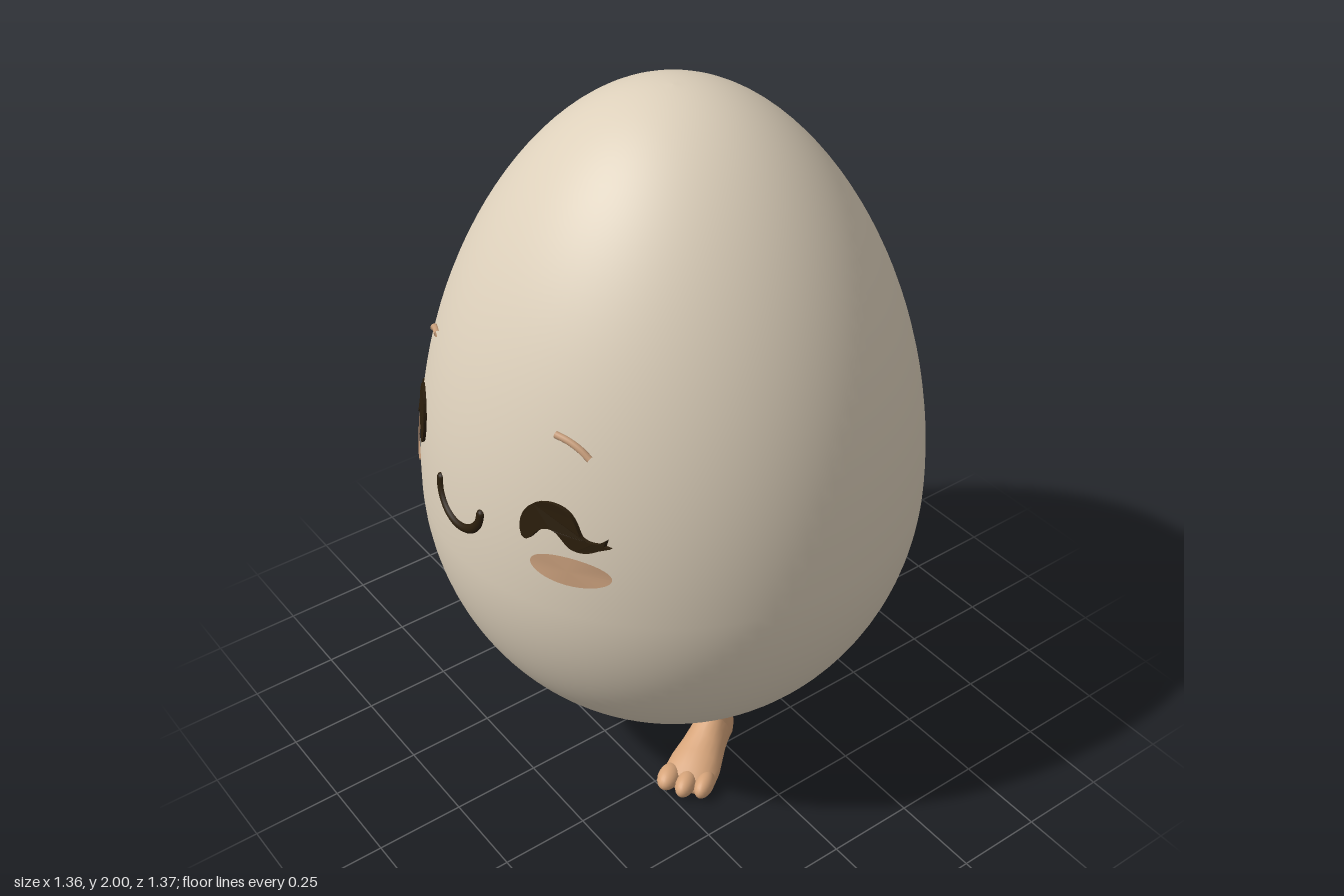
import * as THREE from 'three';

const material = (name, color, side = THREE.FrontSide) => {
  const m = new THREE.MeshStandardMaterial({ color, side });
  m.name = name;
  return m;
};

// Egg radius at a given height
const MID = 0.88, TOP = 2, BOTTOM = 0.143, WIDE = 0.68;
function eggRadius(y) {
  const s = y > MID ? (y - MID) / (TOP - MID) : (MID - y) / (MID - BOTTOM);
  const taper = y > MID ? 1 - 0.08 * s * s : 1;
  return WIDE * Math.sqrt(Math.max(0, 1 - s * s)) * taper;
}
const eggFront = (x, y) => Math.sqrt(Math.max(0, eggRadius(y) ** 2 - x * x));

// Bend a flat geometry onto the front of the egg; its own z becomes the lift
function wrap(geometry, lift) {
  const p = geometry.attributes.position;
  for (let i = 0; i < p.count; i++) {
    p.setZ(i, eggFront(p.getX(i), p.getY(i)) + p.getZ(i) + lift);
  }
  geometry.computeVertexNormals();
  return geometry;
}

// Rounded stroke lying on the egg
function stroke(points, radius, lift) {
  const path = new THREE.CatmullRomCurve3(
    points.map(([x, y]) => new THREE.Vector3(x, y, eggFront(x, y) + lift)));
  return new THREE.TubeGeometry(path, 32, radius, 10);
}

// Foot body lofted through flat-bottomed sections: [z, half width, height]
function footGeometry() {
  const sections = [
    [-0.064, 0.005, 0.04], [-0.06, 0.025, 0.07], [-0.045, 0.042, 0.11], [-0.02, 0.05, 0.14],
    [0.02, 0.052, 0.145], [0.055, 0.056, 0.125], [0.1, 0.065, 0.102], [0.15, 0.075, 0.085],
    [0.195, 0.077, 0.07], [0.22, 0.07, 0.052], [0.235, 0.04, 0.03],
  ];
  const n = 24, positions = [], indices = [];
  for (const [z, w, h] of sections) {
    for (let i = 0; i < n; i++) {
      const a = (i / n) * Math.PI * 2, c = Math.cos(a), s = Math.sin(a);
      const y = s > 0 ? 0.3 + 0.7 * s : 0.3 - 0.3 * Math.sqrt(-s);
      positions.push(w * c, h * y, z);
    }
  }
  for (let j = 0; j < sections.length - 1; j++) {
    for (let i = 0; i < n; i++) {
      const a = j * n + i, b = j * n + (i + 1) % n;
      indices.push(a, b, b + n, a, b + n, a + n);
    }
  }
  // Close heel and toe ends
  const last = (sections.length - 1) * n;
  for (let i = 1; i < n - 1; i++) {
    indices.push(0, i + 1, i, last, last + i, last + i + 1);
  }
  const g = new THREE.BufferGeometry();
  g.setAttribute('position', new THREE.Float32BufferAttribute(positions, 3));
  g.setIndex(indices);
  g.computeVertexNormals();
  return g;
}

export function createModel() {
  const shell = material('shell cream', 0xddd0bb);
  const skin = material('skin tan', 0xd6a47a);
  const blush = material('blush tan', 0xc99f7c, THREE.DoubleSide);
  const dark = material('dark brown', 0x2a1d0b, THREE.DoubleSide);

  const model = new THREE.Group();
  const add = (parent, name, geometry, mat, x = 0, y = 0, z = 0) => {
    const mesh = new THREE.Mesh(geometry, mat);
    mesh.name = name;
    mesh.position.set(x, y, z);
    parent.add(mesh);
    return mesh;
  };

  // Egg body
  const profile = [];
  for (let i = 0; i <= 64; i++) {
    const a = -Math.PI / 2 + (i / 64) * Math.PI;
    const y = MID + Math.sin(a) * (a > 0 ? TOP - MID : MID - BOTTOM);
    profile.push(new THREE.Vector2(i % 64 ? eggRadius(y) : 0, y));
  }
  add(model, 'eggBody', new THREE.LatheGeometry(profile, 96), shell);

  // Smile
  const smile = [];
  for (let i = 0; i <= 12; i++) {
    const a = Math.PI + (i / 12) * Math.PI;
    smile.push([0.094 * Math.cos(a), 1.07 + 0.082 * Math.sin(a)]);
  }
  add(model, 'smile', stroke(smile, 0.013, -0.003), dark);
  for (const i of [0, 12]) {
    const [x, y] = smile[i];
    add(model, 'smileEnd', new THREE.SphereGeometry(0.013, 12, 8), dark, x, y, eggFront(x, y) - 0.003);
  }

  // Closed happy eye: thick arch with lashes at the outer corner
  const eyeShape = new THREE.Shape();
  eyeShape.moveTo(0.235, 1.083);
  eyeShape.bezierCurveTo(0.212, 1.13, 0.24, 1.197, 0.3, 1.196);
  eyeShape.bezierCurveTo(0.35, 1.195, 0.36, 1.15, 0.372, 1.128);
  eyeShape.quadraticCurveTo(0.385, 1.112, 0.41, 1.116);
  eyeShape.lineTo(0.424, 1.13);
  eyeShape.lineTo(0.422, 1.112);
  eyeShape.lineTo(0.434, 1.108);
  eyeShape.lineTo(0.412, 1.097);
  eyeShape.quadraticCurveTo(0.385, 1.075, 0.355, 1.088);
  eyeShape.bezierCurveTo(0.335, 1.1, 0.325, 1.128, 0.3, 1.126);
  eyeShape.bezierCurveTo(0.275, 1.122, 0.27, 1.1, 0.255, 1.083);
  eyeShape.quadraticCurveTo(0.245, 1.073, 0.235, 1.083);

  for (const side of [1, -1]) {
    const label = side > 0 ? 'left' : 'right';

    const face = new THREE.Group();
    face.name = label + 'FaceSide';
    face.scale.x = side;
    model.add(face);

    const eye = new THREE.ExtrudeGeometry(eyeShape, { depth: 0.009, bevelEnabled: false, curveSegments: 10 });
    add(face, label + 'Eye', wrap(eye, 0), dark);

    const cheek = new THREE.CircleGeometry(1, 40).scale(0.092, 0.041, 1).translate(0.352, 1.019, 0);
    add(face, label + 'Cheek', wrap(cheek, 0.006), blush);

    const brow = [[0.268, 1.364], [0.3, 1.357], [0.33, 1.343], [0.354, 1.325]];
    add(face, label + 'Brow', stroke(brow, 0.009, 0.002), blush);

    // Leg and three-toed foot, turned outward
    const leg = new THREE.Group();
    leg.name = label + 'Leg';
    leg.position.set(side * 0.222 - 0.012, 0, 0.005);
    leg.rotation.y = side * 0.54;
    leg.scale.x = side;
    model.add(leg);

    const shin = [[0.054, 0.06], [0.052, 0.1], [0.046, 0.14], [0.044, 0.18], [0.046, 0.28]]
      .map(([r, y]) => new THREE.Vector2(r, y));
    add(leg, label + 'Shin', new THREE.LatheGeometry(shin, 24), skin);
    add(leg, label + 'Foot', footGeometry(), skin);

    const toes = [[-0.051, 0.225, 0.031], [0.004, 0.232, 0.028], [0.054, 0.216, 0.026]];
    for (const [x, z, r] of toes) {
      const toe = add(leg, label + 'Toe', new THREE.SphereGeometry(1, 20, 14), skin, x, 0.031, z);
      toe.scale.set(r, 0.031, 0.048);
    }
  }
  return model;
}
